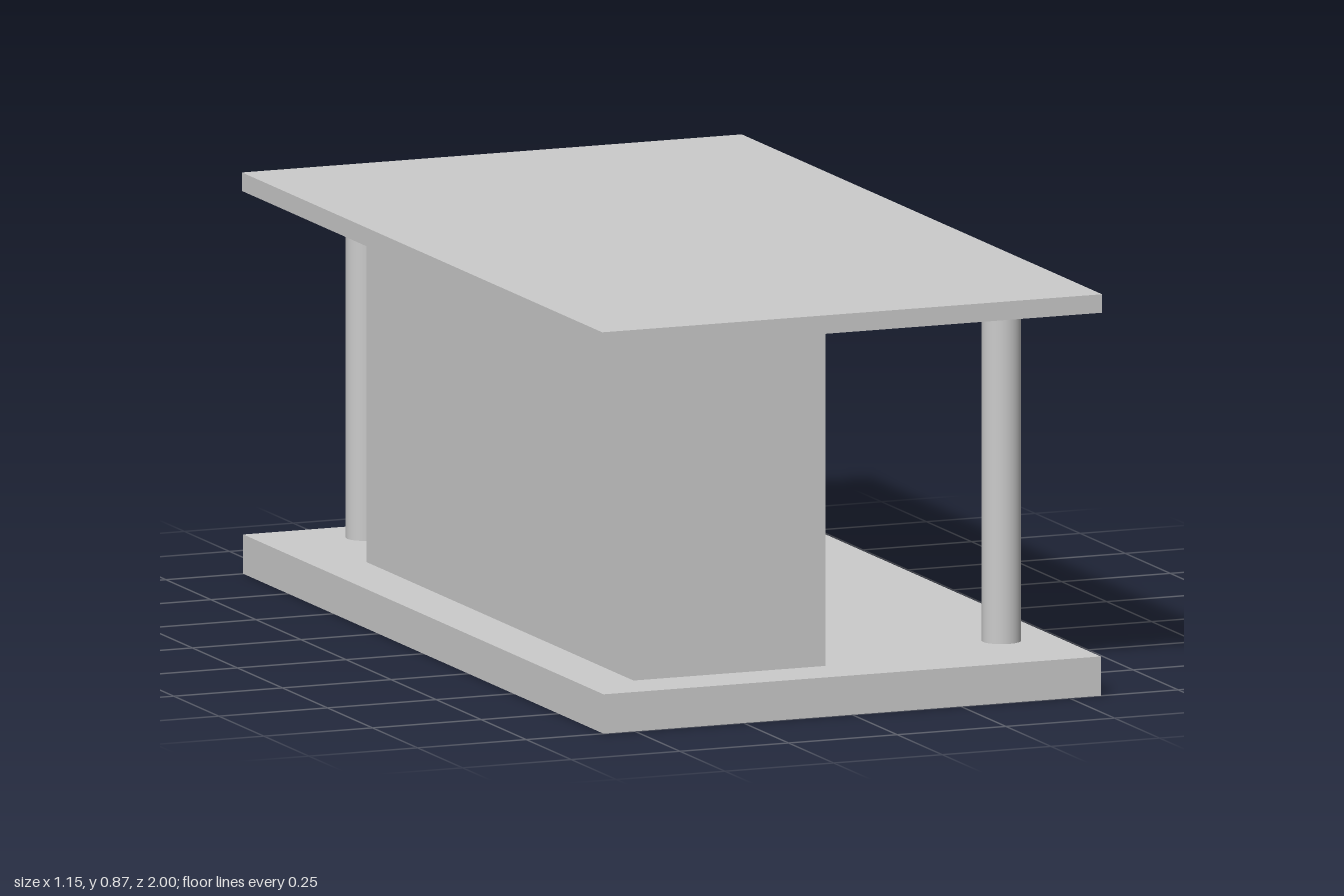
import * as THREE from 'three';

const material = new THREE.MeshStandardMaterial({ color: 0xcccccc });

// Box given by its minimum and maximum on each axis
function box(name, [x0, x1], [y0, y1], [z0, z1]) {
  const mesh = new THREE.Mesh(new THREE.BoxGeometry(x1 - x0, y1 - y0, z1 - z0), material);
  mesh.position.set((x0 + x1) / 2, (y0 + y1) / 2, (z0 + z1) / 2);
  mesh.name = name;
  return mesh;
}

const FLOOR = 0.085;
const CEILING = 0.828;

function createBench() {
  const bench = new THREE.Group();
  bench.name = 'bench';
  const back = -0.345, front = -0.13, top = 0.17;
  // Block legs at both ends
  for (const [z0, z1] of [[-0.265, -0.13], [0.51, 0.64]]) {
    bench.add(box('benchLeg', [back, front], [FLOOR, top], [z0, z1]));
  }
  // Seat slats spanning the legs
  const count = 3, gap = 0.014;
  const width = (front - back - gap * (count - 1)) / count;
  for (let i = 0; i < count; i++) {
    const x = back + i * (width + gap);
    bench.add(box('benchSlat', [x, x + width], [0.15, top], [-0.13, 0.51]));
  }
  return bench;
}

// Open-topped square bin with thin walls
function createBin() {
  const size = 0.128, wall = 0.014, height = 0.065, h = size / 2, i = h - wall;
  const shape = new THREE.Shape([[-h, -h], [h, -h], [h, h], [-h, h]].map(p => new THREE.Vector2(...p)));
  shape.holes.push(new THREE.Path([[-i, -i], [-i, i], [i, i], [i, -i]].map(p => new THREE.Vector2(...p))));
  const geometry = new THREE.ExtrudeGeometry(shape, { depth: height, bevelEnabled: false });
  geometry.rotateX(-Math.PI / 2);
  const bin = new THREE.Group();
  bin.name = 'bin';
  const walls = new THREE.Mesh(geometry, material);
  walls.name = 'binWalls';
  bin.add(walls, box('binFloor', [-i, i], [0, 0.01], [-i, i]));
  bin.position.set(-0.213, FLOOR, -0.543);
  return bin;
}

export function createModel() {
  const model = new THREE.Group();
  model.name = 'shelter';

  // Floor slab and roof
  model.add(box('base', [-0.572, 0.572], [0, FLOOR], [-1, 1]));
  model.add(box('roof', [-0.575, 0.575], [CEILING, 0.868], [-1, 1]));

  // L-shaped wall
  model.add(box('backWall', [-0.452, -0.345], [FLOOR, CEILING], [-0.605, 0.77]));
  model.add(box('endWall', [-0.452, -0.01], [FLOOR, CEILING], [0.77, 0.877]));

  // Round posts
  const postGeometry = new THREE.CylinderGeometry(0.042, 0.042, CEILING - FLOOR, 32);
  for (const [x, z] of [[0.447, 0.75], [0.447, -0.87], [-0.345, -0.87]]) {
    const post = new THREE.Mesh(postGeometry, material);
    post.position.set(x, (FLOOR + CEILING) / 2, z);
    post.name = 'post';
    model.add(post);
  }

  model.add(createBench(), createBin());
  return model;
}
